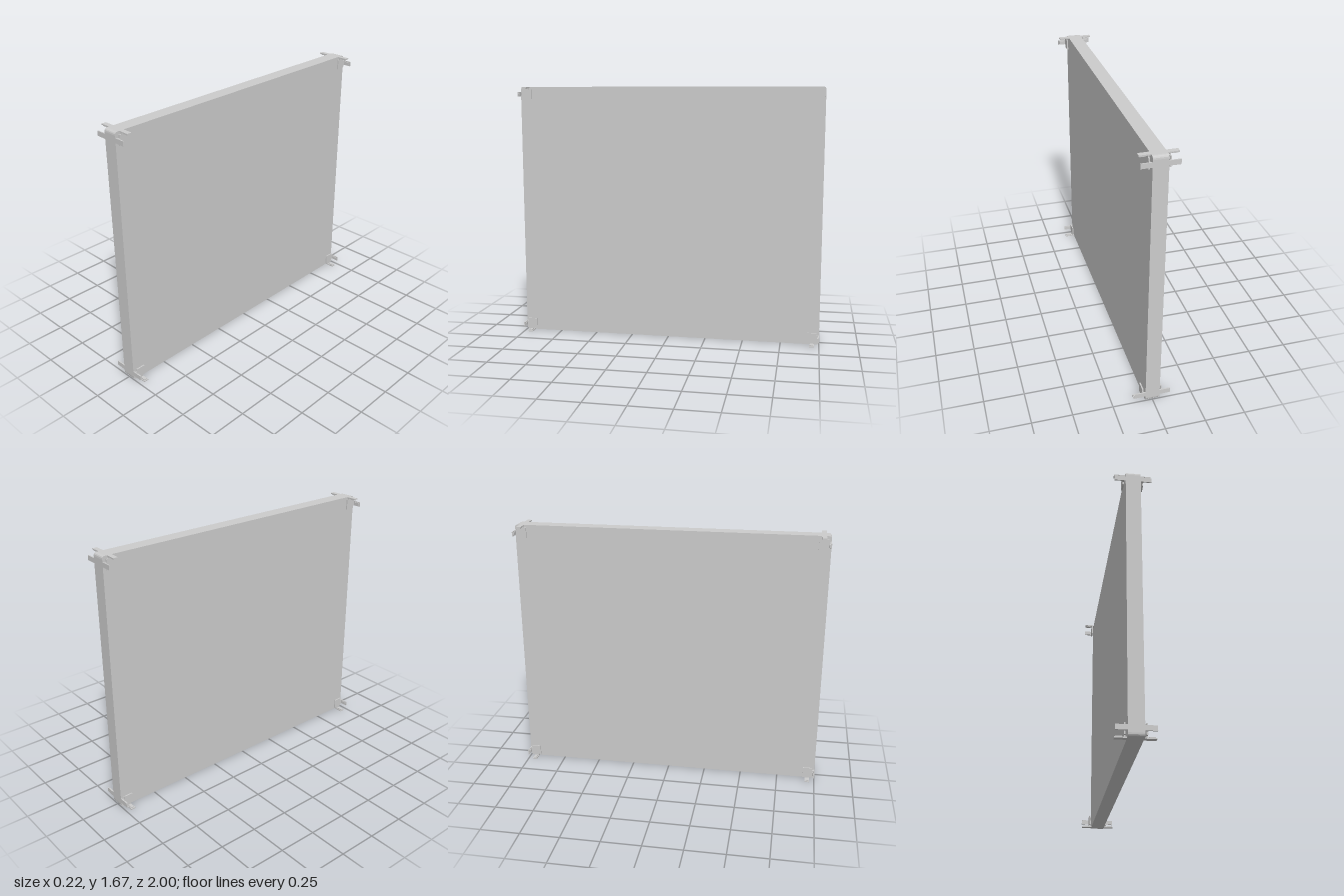
import * as THREE from 'three';

const W = 0.09, H = 1.667, D = 2; // panel thickness, height, depth
const mat = new THREE.MeshStandardMaterial({ color: 0xcccccc, flatShading: true });

function box(name, sx, sy, sz, x, y, z) {
  const m = new THREE.Mesh(new THREE.BoxGeometry(sx, sy, sz), mat);
  m.name = name;
  m.position.set(x, y, z);
  return m;
}

// Slab with slightly rounded corners, extruded through its thickness
function createPanel() {
  const a = D / 2, b = H / 2, r = 0.02;
  const s = new THREE.Shape();
  s.moveTo(-a + r, -b);
  s.lineTo(a - r, -b);
  s.quadraticCurveTo(a, -b, a, -b + r);
  s.lineTo(a, b - r);
  s.quadraticCurveTo(a, b, a - r, b);
  s.lineTo(-a + r, b);
  s.quadraticCurveTo(-a, b, -a, b - r);
  s.lineTo(-a, -b + r);
  s.quadraticCurveTo(-a, -b, -a + r, -b);
  const g = new THREE.ExtrudeGeometry(s, { depth: W, bevelEnabled: false, curveSegments: 4 });
  g.translate(0, 0, -W / 2);
  g.rotateY(Math.PI / 2);
  const m = new THREE.Mesh(g, mat);
  m.name = 'panel';
  m.position.y = H / 2;
  return m;
}

// Corner clip: square plate off the face, with a hooked tab along each edge.
// sx, sy, sz give the direction of the corner from the panel centre.
function createClip(sx, sy, sz) {
  const clip = new THREE.Group();
  clip.name = 'cornerClip';
  const at = (name, w, h, d, x, inY, inZ) => clip.add(
    box(name, w, h, d, sx * x, H / 2 + sy * (H / 2 - inY), sz * (D / 2 - inZ)));
  at('clipPlate', 0.008, 0.064, 0.06, 0.058, 0.048, 0.046);
  // Tab along the horizontal edge, with neck and hook
  at('edgeTab', 0.066, 0.007, 0.03, 0.078, 0.0035, 0.046);
  at('tabNeck', 0.008, 0.014, 0.03, 0.058, 0.012, 0.046);
  at('tabHook', 0.034, 0.007, 0.02, 0.088, 0.0095, 0.046);
  // Tab along the upright edge, with neck and hook
  at('sideTab', 0.066, 0.03, 0.007, 0.078, 0.048, 0.0035);
  at('tabNeck', 0.008, 0.03, 0.014, 0.058, 0.048, 0.012);
  at('tabHook', 0.034, 0.02, 0.007, 0.088, 0.048, 0.0095);
  return clip;
}

export function createModel() {
  const model = new THREE.Group();
  model.name = 'clippedPanel';
  model.add(createPanel());
  for (const sx of [-1, 1])
    for (const sy of [-1, 1])
      for (const sz of [-1, 1]) model.add(createClip(sx, sy, sz));
  return model;
}
